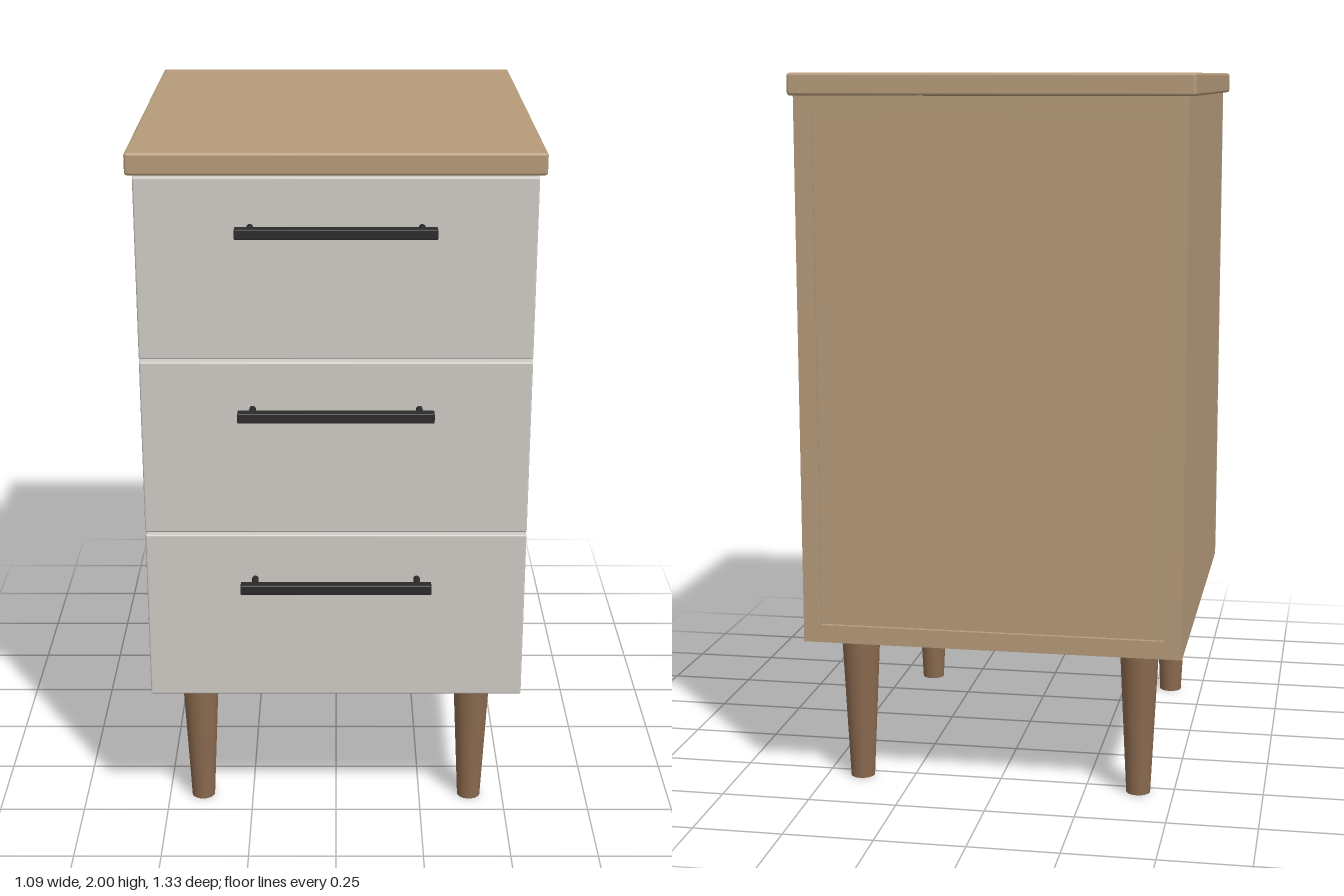
import * as THREE from 'three';
import { RoundedBoxGeometry } from 'three/addons/geometries/RoundedBoxGeometry.js';

const mat = (color) => new THREE.MeshStandardMaterial({ color });

export function createModel() {
  const group = new THREE.Group();
  const wood = mat(0xb59b7a), paint = mat(0xcfcbc5), metal = mat(0x2c2a2a), legWood = mat(0x8b6a4f);

  const add = (name, geometry, material, x, y, z, parent = group) => {
    const mesh = new THREE.Mesh(geometry, material);
    mesh.name = name;
    mesh.position.set(x, y, z);
    parent.add(mesh);
    return mesh;
  };
  // box given by its min and max corners, with optional rounded edges
  const box = (name, material, [x0, y0, z0], [x1, y1, z1], radius = 0, parent = group) => {
    const size = [x1 - x0, y1 - y0, z1 - z0];
    const geometry = radius ? new RoundedBoxGeometry(...size, 2, radius) : new THREE.BoxGeometry(...size);
    return add(name, geometry, material, (x0 + x1) / 2, (y0 + y1) / 2, (z0 + z1) / 2, parent);
  };

  // Carcass: side, bottom and upper panels around a recessed back
  const W = 0.53, T = 0.05, Y0 = 0.43, Y1 = 1.94, ZB = -0.66, ZF = 0.54;
  box('leftSide', wood, [W - T, Y0, ZB], [W, Y1, ZF]);
  box('rightSide', wood, [-W, Y0, ZB], [T - W, Y1, ZF]);
  box('bottomPanel', wood, [T - W, Y0, ZB], [W - T, Y0 + T, ZF]);
  box('upperPanel', wood, [T - W, Y1 - T, ZB], [W - T, Y1, ZF]);
  box('backPanel', wood, [T - W, Y0 + T, ZB + 0.012], [W - T, Y1 - T, ZB + 0.035]);

  // Overhanging top
  box('top', wood, [-0.547, Y1, -0.665], [0.547, 2, 0.595], 0.008);

  // Drawers with bar handles, and a rail behind each gap
  for (let i = 0; i < 3; i++) {
    const y = 0.433 + i * 0.503;
    const drawer = new THREE.Group();
    drawer.name = `drawer${i + 1}`;
    group.add(drawer);
    box('drawerFront', paint, [-0.528, y, ZF], [0.528, y + 0.495, 0.585], 0.005, drawer);
    const hy = y + 0.363;
    box('handleBar', metal, [-0.263, hy - 0.014, 0.635], [0.263, hy + 0.014, 0.665], 0.003, drawer);
    for (const x of [-0.225, 0.225]) {
      const post = add('handlePost', new THREE.CylinderGeometry(0.009, 0.009, 0.06, 16), metal, x, hy, 0.61, drawer);
      post.rotation.x = Math.PI / 2;
    }
    if (i > 0) box('rail', wood, [T - W, y - 0.029, ZF - 0.06], [W - T, y + 0.021, ZF - 0.005]);
  }

  // Tapered round legs
  const legGeometry = new THREE.CylinderGeometry(0.055, 0.034, Y0, 32);
  for (const x of [-0.4, 0.4])
    for (const z of [-0.53, 0.405])
      add(z > 0 ? 'frontLeg' : 'backLeg', legGeometry, legWood, x, Y0 / 2, z);

  return group;
}
